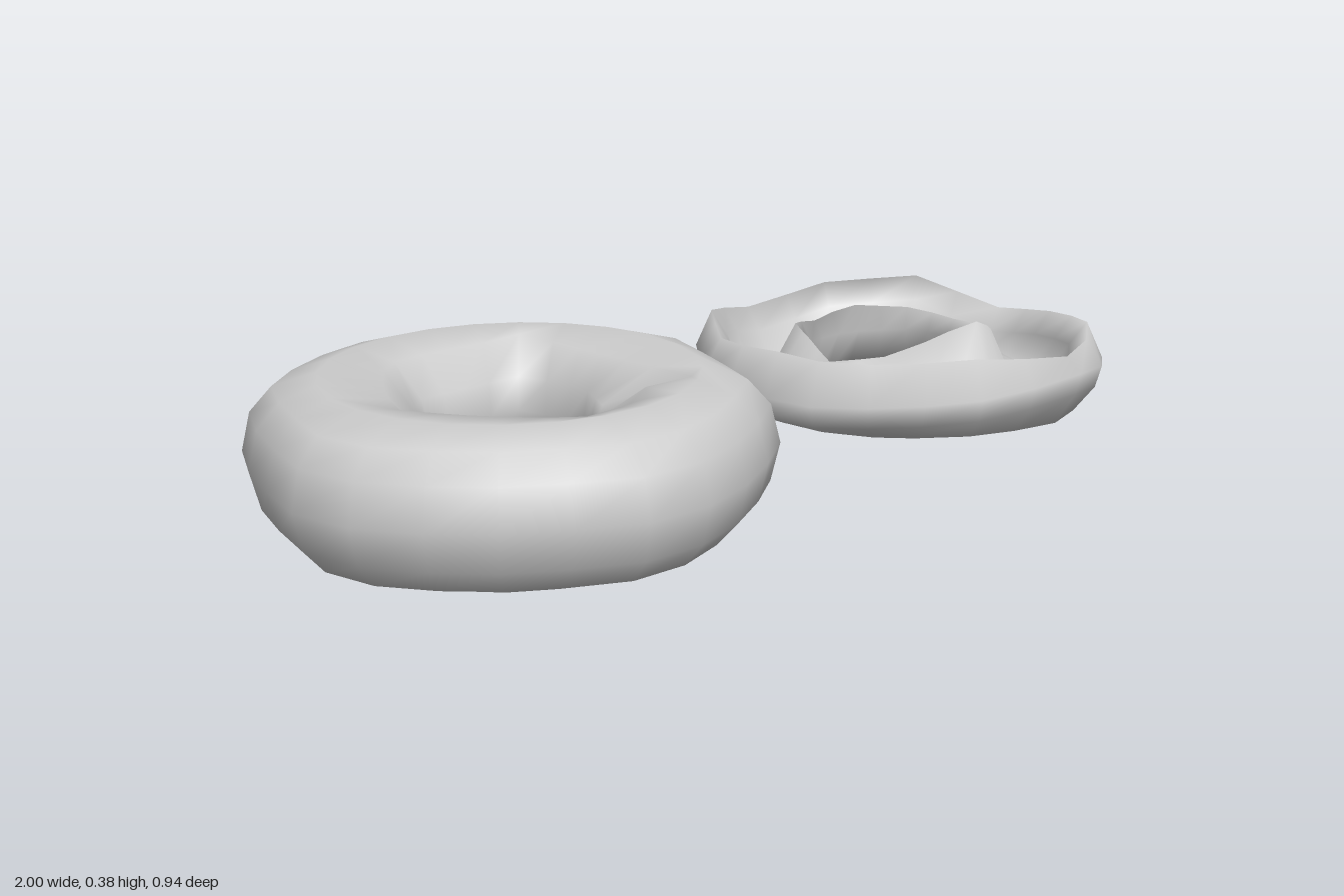
import * as THREE from 'three';

const SIDES = 24;

// Distance from the centre to an [x, z] outline in direction a
function outlineRadius(outline, a) {
  const c = Math.cos(a), s = Math.sin(a);
  let best = 0;
  outline.forEach(([x1, z1], i) => {
    const [x2, z2] = outline[(i + 1) % outline.length];
    const side1 = z1 * c - x1 * s, side2 = z2 * c - x2 * s;
    if (side1 * side2 > 0 || side1 === side2) return;
    const t = side1 / (side1 - side2);
    best = Math.max(best, (x1 + (x2 - x1) * t) * c + (z1 + (z2 - z1) * t) * s);
  });
  return best;
}

// Value at angle a from a list of evenly spaced values round the ring
function around(list, a) {
  const f = (a / (Math.PI * 2)) * list.length, i = Math.floor(f);
  return THREE.MathUtils.lerp(list[i % list.length], list[(i + 1) % list.length], f - i);
}

// Sweeps a closed cross-section of [radius, height] points round the y axis
function ringGeometry(section) {
  const positions = [], index = [];
  let n = 0;
  for (let i = 0; i < SIDES; i++) {
    const a = (i / SIDES) * Math.PI * 2;
    const points = section(a);
    n = points.length;
    for (const [r, y] of points) positions.push(r * Math.cos(a), y, r * Math.sin(a));
  }
  for (let i = 0; i < SIDES; i++) {
    const next = (i + 1) % SIDES;
    for (let j = 0; j < n; j++) {
      const k = (j + 1) % n;
      const a = i * n + j, b = i * n + k, c = next * n + j, d = next * n + k;
      index.push(a, b, c, c, b, d);
    }
  }
  const g = new THREE.BufferGeometry();
  g.setAttribute('position', new THREE.Float32BufferAttribute(positions, 3));
  g.setIndex(index);
  g.computeVertexNormals();
  return g;
}

// Dough: a full ring with an uneven hole, steeper on its left inner side
const doughOutline = [
  [0.47, 0], [0.41, 0.17], [0.33, 0.33], [0.16, 0.43], [0, 0.465], [-0.12, 0.45], [-0.25, 0.37], [-0.36, 0.28],
  [-0.45, 0.12], [-0.467, 0], [-0.41, -0.19], [-0.33, -0.33], [-0.18, -0.435], [0, -0.47], [0.12, -0.455],
  [0.33, -0.33], [0.45, -0.1],
];
const doughHole = [[0.18, -0.02], [0.06, 0.19], [-0.06, 0.19], [-0.18, 0], [-0.06, -0.17], [0.16, -0.155]];
function doughSection(a) {
  const o = outlineRadius(doughOutline, a), h = outlineRadius(doughHole, a);
  const shoulder = Math.cos(a) > 0.7 ? 0.22 / Math.cos(a) : h + 0.07;
  return [
    [o, 0], [o - 0.017, 0.07], [o - 0.057, 0.115], [0.33, 0.14], [shoulder, 0.122], [h + 0.015, 0.06],
    [h, 0], [h + 0.015, -0.06], [h + 0.07, -0.12], [0.33, -0.14], [o - 0.057, -0.115], [o - 0.017, -0.07],
  ];
}

// Icing: an upturned trough with wavy rims and one drooping lump at the back
const icingOutline = [
  [0.43, 0], [0.38, 0.15], [0.28, 0.32], [0.17, 0.43], [0, 0.465], [-0.16, 0.42], [-0.27, 0.35], [-0.425, 0.1],
  [-0.42, -0.08], [-0.38, -0.2], [-0.24, -0.36], [-0.16, -0.42], [0, -0.45], [0.235, -0.39], [0.385, -0.23],
];
const icingHole = [
  [0.195, 0.05], [0.075, 0.17], [0, 0.185], [-0.195, 0], [-0.085, -0.18], [0, -0.195], [0.075, -0.19], [0.195, -0.1],
];
const outerRim = [0.215, 0.25, 0.275, 0.255, 0.275, 0.26, 0.265, 0.25, 0.26, 0.22, 0.25, 0.265];
const innerRim = [0.22, 0.22, 0.25, 0.29, 0.25, 0.22, 0.21, 0.23, 0.24, 0.22, 0.24, 0.23];
const widest = [0.165, 0.17, 0.2, 0.225, 0.2, 0.18, 0.175, 0.18, 0.18, 0.165, 0.17, 0.165];
const underside = [0.08, 0.085, 0.088, 0.09, 0.09, 0.09, 0.09, 0.09, 0.08, 0, 0.075, 0.072];
function icingSection(a) {
  const o = outlineRadius(icingOutline, a), h = outlineRadius(icingHole, a);
  const rim = around(outerRim, a), inner = around(innerRim, a);
  const wide = around(widest, a), base = around(underside, a);
  const droop = 0.09 - base;
  return [
    [h + 0.025, inner], [h, 0.185], [h + 0.045, 0.12 - droop * 0.8],
    [0.31, base], [o - 0.055, 0.112 - droop * 0.75],
    [o - 0.012, wide - 0.045], [o, wide], [o - 0.035, rim],
    [o - 0.07, rim - 0.05], [0.325, 0.13 - droop * 0.75], [h + 0.065, 0.165 - droop * 0.4],
  ];
}

export function createModel() {
  const group = new THREE.Group();
  const grey = new THREE.MeshStandardMaterial({ color: 0xcccccc });
  grey.name = 'lightGrey';

  const dough = new THREE.Mesh(ringGeometry(doughSection), grey);
  dough.name = 'doughRing';
  dough.position.set(-0.533, 0.235, 0);

  const icing = new THREE.Mesh(ringGeometry(icingSection), grey);
  icing.name = 'icingTrough';
  icing.position.set(0.565, 0, 0);

  group.add(dough, icing);
  return group;
}
